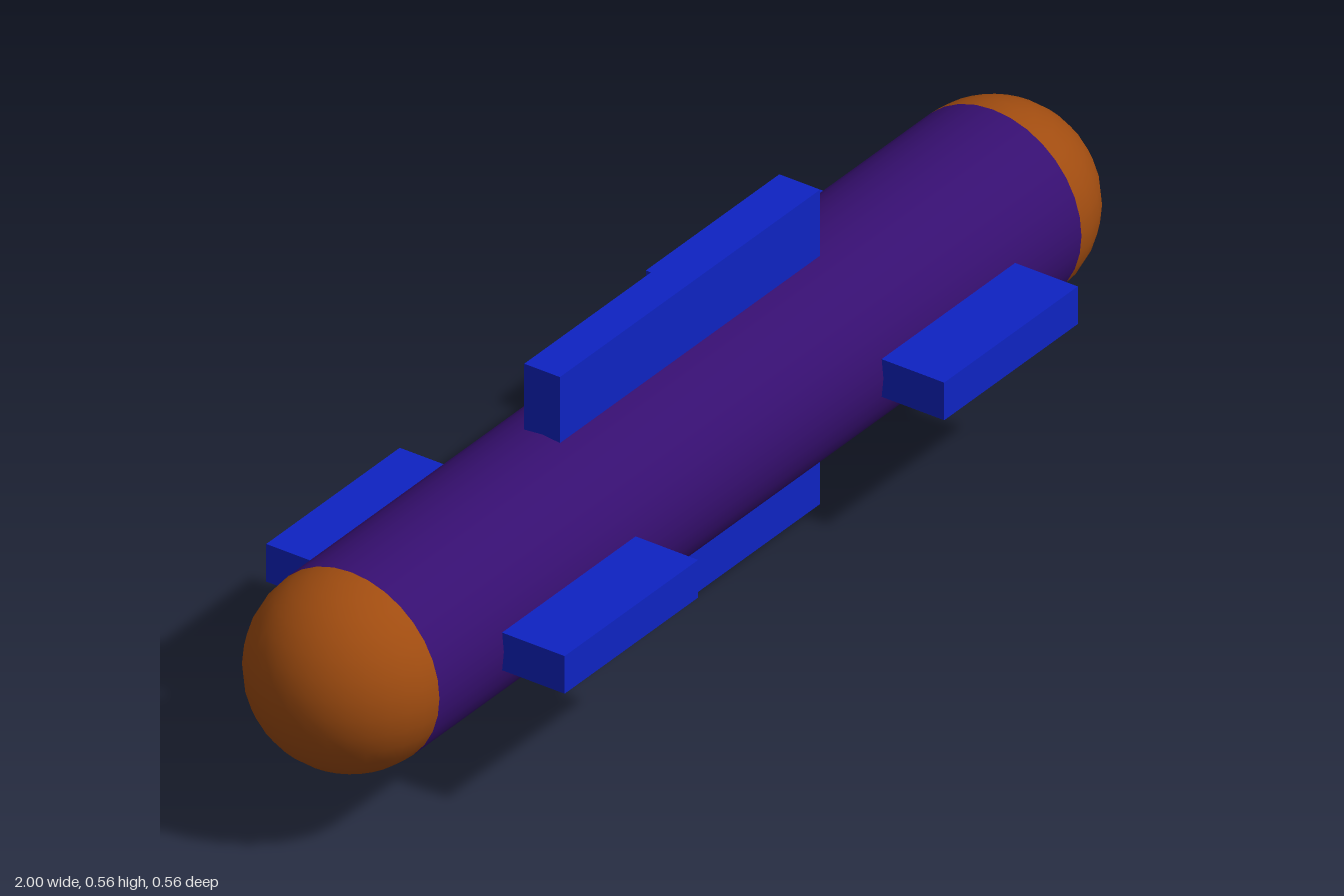
import * as THREE from 'three';

const mat = (name, color) => {
  const m = new THREE.MeshStandardMaterial({ color });
  m.name = name;
  return m;
};

export function createModel() {
  const purple = mat('deep purple', 0x360f70);
  const orange = mat('burnt orange', 0xa04c10);
  const blue = mat('royal blue', 0x0e23c2);

  const model = new THREE.Group();
  model.name = 'capsule';
  const R = 0.166, MID = 0.28, HALF = 0.834, FIN = 0.067;

  const add = (name, geometry, material, x, y, z) => {
    const mesh = new THREE.Mesh(geometry, material);
    mesh.name = name;
    mesh.position.set(x, y, z);
    model.add(mesh);
    return mesh;
  };

  // Long tube lying along x
  const tube = new THREE.CylinderGeometry(R, R, HALF * 2, 32).rotateZ(Math.PI / 2);
  add('body', tube, purple, 0, MID, 0);

  // Rounded ends
  const ball = new THREE.SphereGeometry(R, 32, 16);
  add('leftEndCap', ball, orange, HALF, MID, 0);
  add('rightEndCap', ball, orange, -HALF, MID, 0);

  // Long fins above and below, starting inside the tube
  const finDepth = 0.14, finOffset = 0.28 - finDepth / 2;
  const longFin = new THREE.BoxGeometry(0.675, finDepth, FIN);
  add('topFin', longFin, blue, 0, MID + finOffset, 0);
  add('bottomFin', longFin, blue, 0, MID - finOffset, 0);

  // Two short fins on the front and two on the back
  const shortFin = new THREE.BoxGeometry(0.347, FIN, finDepth);
  for (const [side, sx] of [['Left', 1], ['Right', -1]]) {
    add('front' + side + 'Fin', shortFin, blue, sx * 0.493, MID, finOffset);
    add('back' + side + 'Fin', shortFin, blue, sx * 0.493, MID, -finOffset);
  }

  return model;
}
